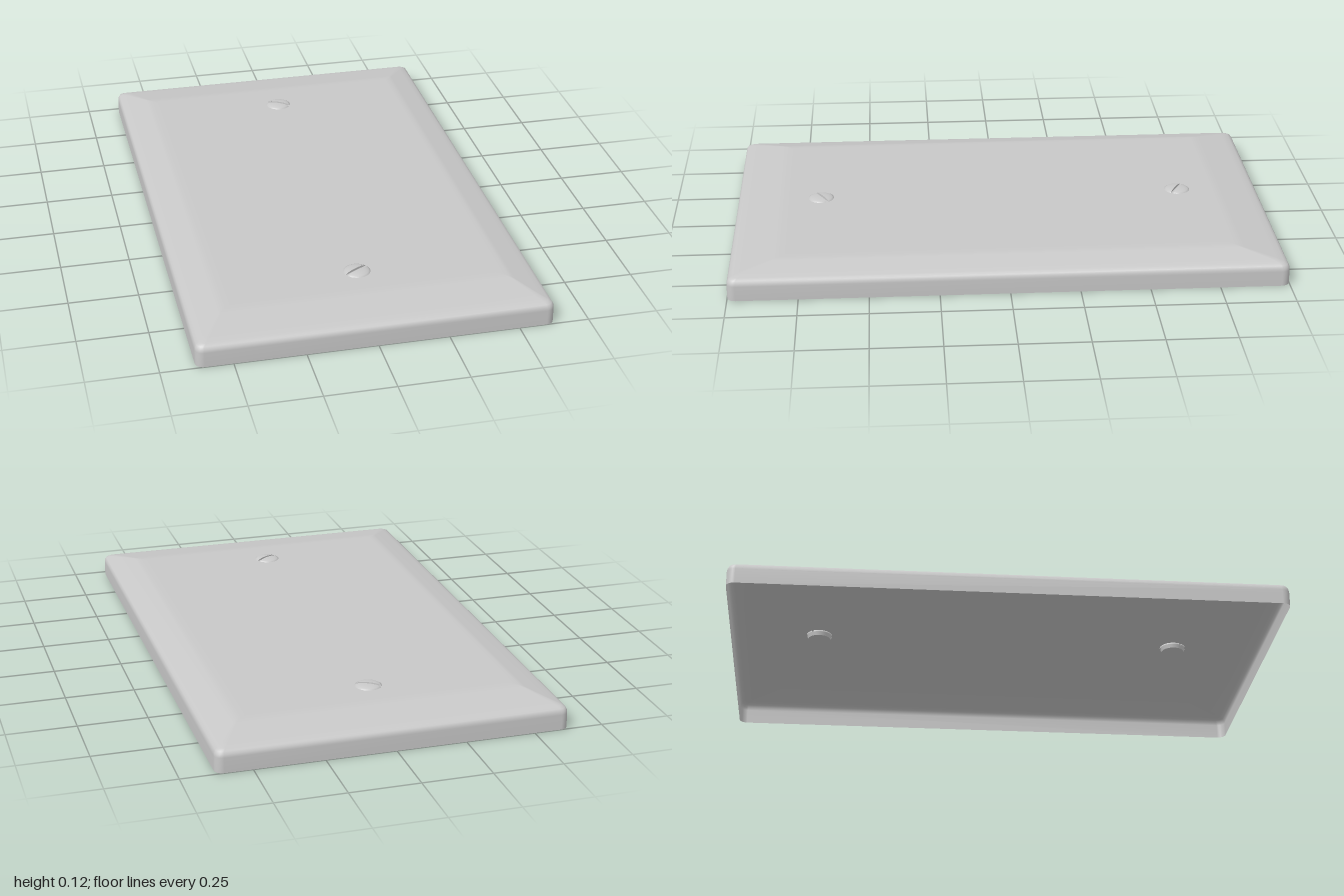
import * as THREE from 'three';

// Rounded rectangle in the ground plane, as [x, z] points
function outline(hx, hz, r, steps = 6) {
  const pts = [];
  const corners = [[1, 1], [-1, 1], [-1, -1], [1, -1]];
  corners.forEach(([sx, sz], c) => {
    for (let i = 0; i <= steps; i++) {
      const a = (c + i / steps) * Math.PI / 2;
      pts.push([sx * (hx - r) + r * Math.cos(a), sz * (hz - r) + r * Math.sin(a)]);
    }
  });
  return pts;
}

// Skin a stack of outlines [halfX, halfZ, y, cornerRadius]; the last one is capped
function loft(sections) {
  const pos = [], idx = [];
  let n = 0;
  sections.forEach(([hx, hz, y, r]) => {
    const ring = outline(hx, hz, r);
    n = ring.length;
    ring.forEach(([x, z]) => pos.push(x, y, z));
  });
  const last = sections.length - 1;
  pos.push(0, sections[last][2], 0);
  for (let s = 0; s <= last; s++) {
    for (let i = 0; i < n; i++) {
      const a = s * n + i, b = s * n + (i + 1) % n;
      if (s < last) idx.push(a, a + n, b, b, a + n, b + n);
      else idx.push((last + 1) * n, b, a);
    }
  }
  const geo = new THREE.BufferGeometry();
  geo.setAttribute('position', new THREE.Float32BufferAttribute(pos, 3));
  geo.setIndex(idx);
  geo.computeVertexNormals();
  return geo;
}

// Slotted screw: two half domes either side of a narrow slot, over a short collar
function makeScrew(material, name) {
  const screw = new THREE.Group();
  screw.name = name;
  const add = (geo, part, parent = screw) => {
    const mesh = new THREE.Mesh(geo, material);
    mesh.name = part;
    parent.add(mesh);
    return mesh;
  };
  const slot = 0.005;
  const profile = [[0.048, -0.003], [0.048, 0.002], [0.041, 0.006], [0.03, 0.009], [0.015, 0.0105], [0, 0.011]]
    .map(([x, y]) => new THREE.Vector2(x, y));
  for (const turn of [0, Math.PI]) {
    const half = new THREE.Group();
    half.name = 'screwHeadHalf';
    half.rotation.y = turn;
    const dome = new THREE.LatheGeometry(profile, 20, -Math.PI / 2, Math.PI);
    const p = dome.attributes.position;
    for (let i = 0; i < p.count; i++) p.setZ(i, Math.max(p.getZ(i), slot));
    add(dome, 'dome', half);
    // Slot wall, cut to the dome profile
    const wall = new THREE.Shape([
      ...profile, ...profile.slice(0, -1).reverse().map((v) => new THREE.Vector2(-v.x, v.y)),
    ]);
    add(new THREE.ShapeGeometry(wall), 'slotWall', half).position.z = slot;
    screw.add(half);
  }
  add(new THREE.CylinderGeometry(0.046, 0.042, 0.018, 32), 'screwCollar').position.y = -0.007;
  return screw;
}

export function createModel() {
  const model = new THREE.Group();
  model.name = 'blankWallPlate';
  const plastic = new THREE.MeshStandardMaterial({ color: 0xc8c8c8, side: THREE.DoubleSide });
  plastic.name = 'lightGrey';

  // Hollow cover: upright rim, rounded shoulder, shallow bevel and flat face
  const cover = new THREE.Mesh(loft([
    [0.628, 1.0, 0, 0.03],
    [0.628, 1.0, 0.055, 0.03],
    [0.626, 0.998, 0.066, 0.029],
    [0.621, 0.992, 0.075, 0.025],
    [0.61, 0.98, 0.081, 0.02],
    [0.59, 0.955, 0.0865, 0.016],
    [0.525, 0.85, 0.1035, 0.006],
    [0.51, 0.83, 0.1065, 0.004],
    [0.49, 0.81, 0.107, 0.004],
    [0.47, 0.79, 0.107, 0.004],
  ]), plastic);
  cover.name = 'coverPlate';
  model.add(cover);

  // Screws with slots turned at opposite angles
  for (const [side, name] of [[1, 'frontScrew'], [-1, 'backScrew']]) {
    const screw = makeScrew(plastic, name);
    screw.position.set(0, 0.105, side * 0.68);
    screw.rotation.y = side * Math.PI / 6;
    model.add(screw);
  }
  return model;
}
